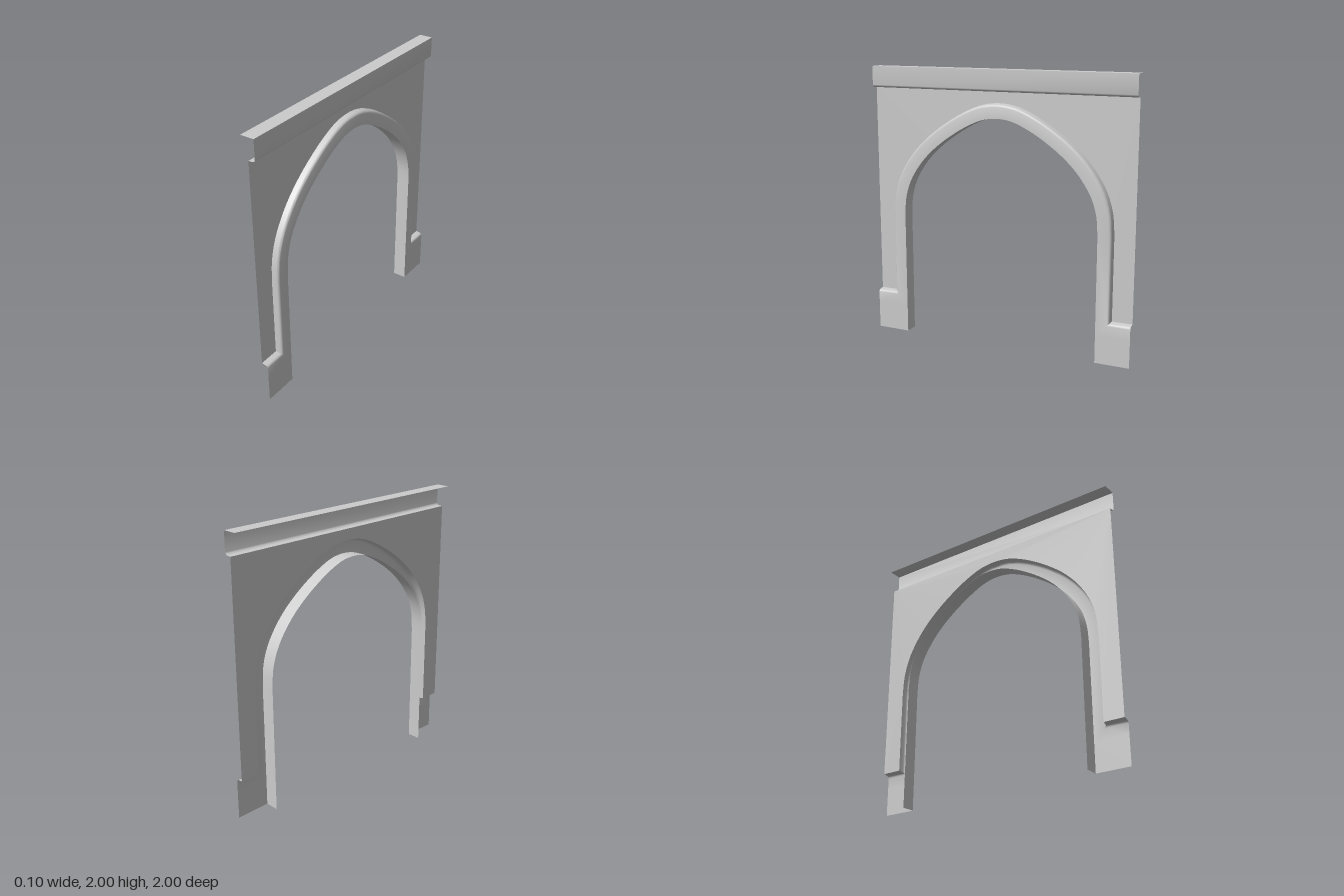
import * as THREE from 'three';
import { toCreasedNormals } from 'three/addons/utils/BufferGeometryUtils.js';

const HALF_DEPTH = 0.05;
const LEG = 0.75; // half width of the opening
const BASE = 0.2; // height where the casing meets the plinth
const material = new THREE.MeshStandardMaterial({ color: 0xcccccc, side: THREE.DoubleSide });

// Skin a list of equal-length cross-sections, each an array of [x, y, z]
function skin(rows, crease) {
  const n = rows[0].length, index = [];
  for (let i = 0; i < rows.length - 1; i++) {
    for (let j = 0; j < n - 1; j++) {
      const a = i * n + j, b = a + n;
      index.push(a, b, b + 1, a, b + 1, a + 1);
    }
  }
  const g = new THREE.BufferGeometry();
  g.setAttribute('position', new THREE.Float32BufferAttribute(rows.flat(2), 3));
  g.setIndex(index);
  return toCreasedNormals(g, crease);
}

// Stations along the opening, from left leg over the crown to right leg
function archStations() {
  const pts = [
    [-0.75, 0.9], [-0.739, 1.04], [-0.7, 1.165], [-0.63, 1.28], [-0.55, 1.373], [-0.46, 1.452],
    [-0.35, 1.53], [-0.235, 1.597], [-0.12, 1.646], [-0.05, 1.66], [0, 1.663],
  ];
  const mirrored = pts.slice(0, -1).reverse().map(([x, y]) => [-x, y]);
  const curve = new THREE.CatmullRomCurve3(
    [...pts, ...mirrored].map(([x, y]) => new THREE.Vector3(x, y, 0)));
  const p = curve.getPoints(60);
  return p.map((q, i) => {
    // outward direction, square to the path
    const t = p[Math.min(i + 1, 60)].clone().sub(p[Math.max(i - 1, 0)]).normalize();
    const end = i === 0 || i === 60;
    return { x: q.x, y: q.y, nx: end ? Math.sign(q.x) : -t.y, ny: end ? 0 : t.x };
  });
}

export function createModel() {
  const group = new THREE.Group();
  group.name = 'archedWall';
  const add = (name, geometry) => {
    const mesh = new THREE.Mesh(geometry, material);
    mesh.name = name;
    group.add(mesh);
    return mesh;
  };

  const arch = archStations();
  const path = [
    { x: -1, y: BASE, nx: 0, ny: 1 },
    { x: -LEG, y: BASE, nx: -1, ny: 1 }, // mitred corner over the plinth
    ...arch,
    { x: LEG, y: BASE, nx: 1, ny: 1 },
    { x: 1, y: BASE, nx: 0, ny: 1 },
  ];

  // Raised casing with a rounded outer edge: [offset, depth]
  const profile = [[0, 0.05], [0.08, 0.05], [0.089, 0.047], [0.095, 0.041], [0.098, 0.033], [0.103, 0]];
  add('archCasing', skin(path.map(s =>
    profile.map(([o, d]) => [s.x + s.nx * o, s.y + s.ny * o, d])), 0.8));

  // Recessed panel filling the wall outside the casing
  const rim = profile[profile.length - 1][0];
  const outline = path.map(s => new THREE.Vector2(s.x + s.nx * rim, s.y + s.ny * rim));
  outline.push(new THREE.Vector2(1, 1.845), new THREE.Vector2(-1, 1.845));
  add('wallPanel', new THREE.ShapeGeometry(new THREE.Shape(outline)));

  // Inner face of the opening
  const inner = [{ x: -LEG, y: 0 }, ...arch, { x: LEG, y: 0 }];
  add('archReveal', skin(inner.map(s =>
    [-HALF_DEPTH, HALF_DEPTH].map(d => [s.x, s.y, d])), 0.8));

  // Plinth faces under the casing
  for (const side of [-1, 1]) {
    const plinth = add(side < 0 ? 'leftPlinth' : 'rightPlinth', new THREE.PlaneGeometry(1 - LEG, BASE));
    plinth.position.set(side * (1 + LEG) / 2, BASE / 2, HALF_DEPTH);
  }

  // Cornice: rounded underside, front band and top: [y, depth]
  const cornice = [[1.845, 0], [1.847, 0.033], [1.85, 0.041], [1.855, 0.047], [1.864, 0.05],
    [2, HALF_DEPTH], [2, -HALF_DEPTH]];
  add('cornice', skin([-1, 1].map(x => cornice.map(([y, d]) => [x, y, d])), 0.8));

  // Turn the wall so that its face looks along +x
  group.rotation.y = Math.PI / 2;
  const model = new THREE.Group();
  model.name = 'archway';
  model.add(group);
  return model;
}
